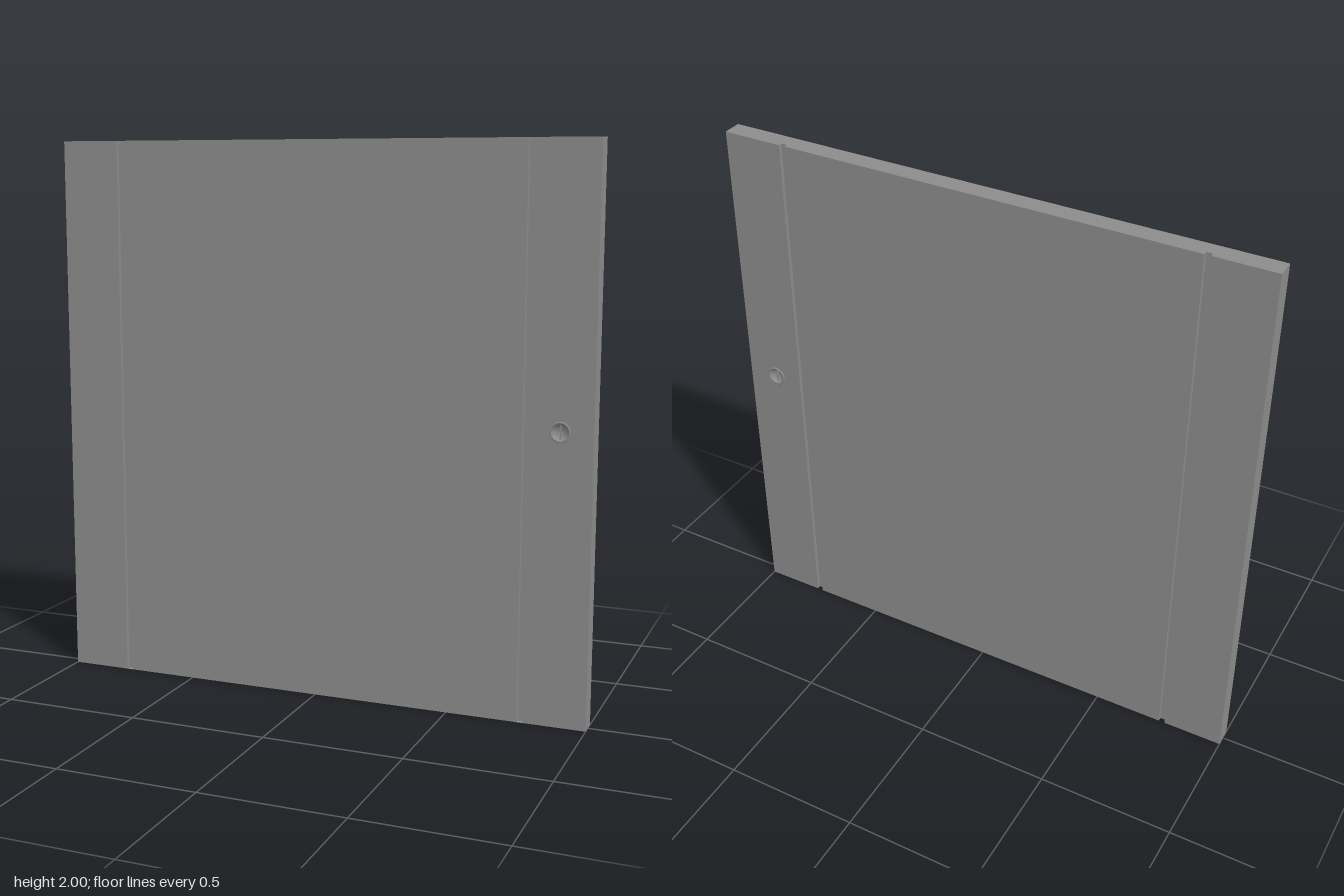
import * as THREE from 'three';

const H = 2, T = 0.035;             // panel height and half thickness
const GROOVE = [0.757, 0.78];       // inner and outer edge of each groove
const DEPTH = 0.015;                // groove depth
const KNOB = { x: 0.885, y: 1.03, r: 0.035 };

export function createModel() {
  const group = new THREE.Group();
  const grey = new THREE.MeshStandardMaterial({ color: 0x8c8c8c });
  grey.name = 'panelGrey';
  grey.side = THREE.DoubleSide;

  const add = (name, geometry, x = 0, y = 0, z = 0) => {
    const mesh = new THREE.Mesh(geometry, grey);
    mesh.name = name;
    mesh.position.set(x, y, z);
    group.add(mesh);
    return mesh;
  };

  // Wide centre panel and plain side strip
  const [g0, g1] = GROOVE;
  const stripW = 1 - g1, grooveW = g1 - g0, grooveX = (g0 + g1) / 2;
  add('centrePanel', new THREE.BoxGeometry(2 * g0, H, 2 * T), 0, H / 2);
  add('rightStrip', new THREE.BoxGeometry(stripW, H, 2 * T), -(g1 + stripW / 2), H / 2);

  // Side strip bored through for the finger pull
  const strip = new THREE.Shape();
  strip.moveTo(g1, 0).lineTo(1, 0).lineTo(1, H).lineTo(g1, H).closePath();
  const bore = new THREE.Path();
  bore.absarc(KNOB.x, KNOB.y, KNOB.r, 0, Math.PI * 2, true);
  strip.holes.push(bore);
  const stripGeo = new THREE.ExtrudeGeometry(strip, { depth: 2 * T, bevelEnabled: false, curveSegments: 16 });
  add('leftStrip', stripGeo, 0, 0, -T);

  // Groove floors, with the front grooves closed at top and bottom
  for (const side of [-1, 1]) {
    add('grooveWeb', new THREE.BoxGeometry(grooveW, H, 2 * (T - DEPTH)), side * grooveX, H / 2);
    for (const y of [0, H]) {
      const cap = add('grooveEnd', new THREE.PlaneGeometry(grooveW, DEPTH), side * grooveX, y, T - DEPTH / 2);
      cap.rotation.x = y ? -Math.PI / 2 : Math.PI / 2;
    }
  }

  // Round dished pull with a raised rim and a fine vertical bar, on both faces
  const profile = [[0, 0.022], [0.012, 0.023], [0.022, 0.028], [0.029, 0.037],
    [0.031, 0.039], [0.034, 0.039], [0.036, 0.037], [0.036, 0.034]]
    .map(([r, h]) => new THREE.Vector2(r, h)).reverse();
  for (const side of [1, -1]) {
    const pull = new THREE.Group();
    pull.name = side > 0 ? 'frontPull' : 'backPull';
    const dish = new THREE.Mesh(new THREE.LatheGeometry(profile, 32), grey);
    dish.name = 'dish';
    dish.rotation.x = Math.PI / 2;
    const bar = new THREE.Mesh(new THREE.BoxGeometry(0.004, 0.056, 0.008), grey);
    bar.name = 'bar';
    bar.position.z = 0.027;
    pull.add(dish, bar);
    pull.position.set(KNOB.x, KNOB.y, 0);
    if (side < 0) pull.rotation.y = Math.PI;
    group.add(pull);
  }
  return group;
}
